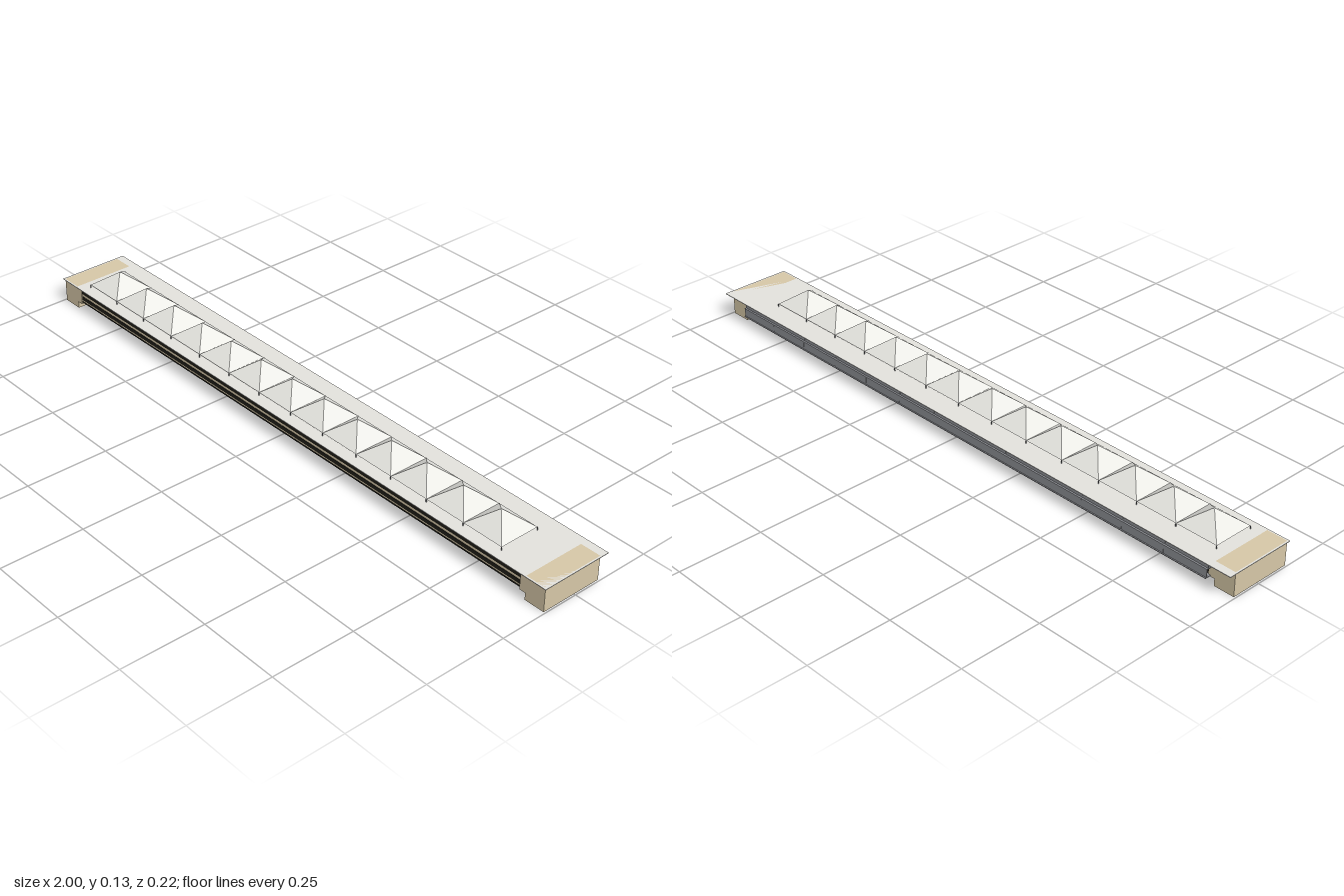
import * as THREE from 'three';

const material = (name, color, extra = {}) => {
  const m = new THREE.MeshStandardMaterial({ color, ...extra });
  m.name = name;
  return m;
};

export function createModel() {
  const stone = material('sandstone', 0xd5c6a6);
  const roofGrey = material('roof grey', 0xe2e1dc);
  const skylight = material('skylight grey', 0xe8e8e3, { flatShading: true });
  const dark = material('dark glazing', 0x1e1d17);
  const metal = material('gallery metal', 0x8c8e93);

  const model = new THREE.Group();
  model.name = 'longHall';

  // Box given by its limits on each axis
  const box = (name, mat, x0, x1, y0, y1, z0, z1, parent = model) => {
    const mesh = new THREE.Mesh(new THREE.BoxGeometry(x1 - x0, y1 - y0, z1 - z0), mat);
    mesh.position.set((x0 + x1) / 2, (y0 + y1) / 2, (z0 + z1) / 2);
    mesh.name = name;
    parent.add(mesh);
  };

  // Raised hall between the two end blocks
  box('hallBody', stone, -0.93, 0.93, 0.026, 0.071, -0.084, 0.104);
  for (const s of [-1, 1]) {
    const side = s > 0 ? 'left' : 'right';
    const [a, b] = s > 0 ? [0.932, 0.995] : [-0.995, -0.932];
    box(side + 'EndBlock', stone, a, b, 0, 0.0735, -0.086, 0.107);
    const [c, d] = s > 0 ? [0.913, 0.932] : [-0.932, -0.913];
    box(side + 'Corbel', stone, c, d, 0.021, 0.072, -0.086, 0.107);
  }

  // Long window bands on the front
  for (const [y0, y1] of [[0.055, 0.071], [0.035, 0.047], [0.026, 0.03]]) {
    box('frontWindowBand', dark, -0.913, 0.913, y0, y1, 0.102, 0.105);
  }

  // Thin overhanging roof, level with the tops of the end blocks
  box('roof', roofGrey, -1, 1, 0.0715, 0.0735, -0.111, 0.112);

  // Two-level gallery along the back
  const gallery = new THREE.Group();
  gallery.name = 'backGallery';
  model.add(gallery);
  box('backGlazing', dark, -0.913, 0.913, 0.027, 0.07, -0.086, -0.083, gallery);
  box('lowerFloor', metal, -0.92, 0.92, 0.0235, 0.0255, -0.105, -0.084, gallery);
  box('upperFloor', metal, -0.92, 0.92, 0.0482, 0.0502, -0.102, -0.084, gallery);
  const panels = 13, width = 1.84 / panels;
  for (let i = 0; i < panels; i++) {
    const x = -0.92 + i * width;
    box('lowerScreen', metal, x, x + width - 0.001, 0.0255, 0.0482, -0.1015, -0.1, gallery);
    box('upperScreen', metal, x, x + width - 0.001, 0.0502, 0.0715, -0.0965, -0.095, gallery);
  }

  // Row of pyramid skylights raised on slender posts
  const count = 13, x0 = -0.9, pitch = 0.1325, zMid = 0.017, depth = 0.127;
  const pyramid = new THREE.CylinderGeometry(0.025, Math.SQRT1_2, 1, 4);
  pyramid.rotateY(Math.PI / 4);
  for (let i = 0; i < count; i++) {
    const mesh = new THREE.Mesh(pyramid, skylight);
    mesh.scale.set(pitch, 0.048, depth);
    mesh.position.set(x0 + (i + 0.5) * pitch, 0.107, zMid);
    mesh.name = 'skylight';
    model.add(mesh);
  }
  for (let i = 0; i <= count; i++) {
    const x = x0 + i * pitch;
    for (const z of [zMid - depth / 2, zMid + depth / 2]) {
      box('skylightPost', metal, x - 0.001, x + 0.001, 0.0735, 0.0832, z - 0.001, z + 0.001);
    }
  }

  return model;
}
